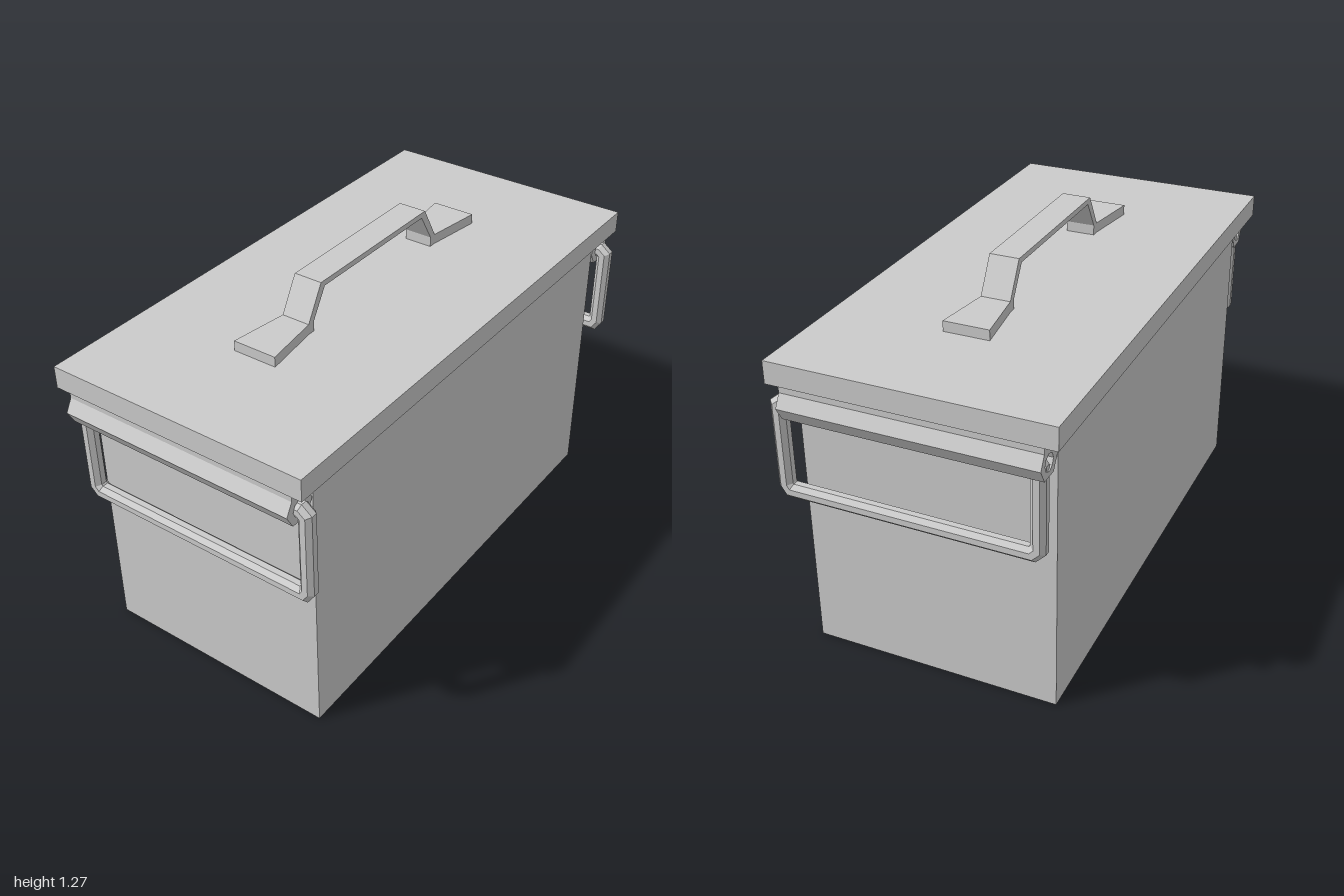
import * as THREE from 'three';

const material = new THREE.MeshStandardMaterial({ color: 0xcccccc, flatShading: true });
const wireMaterial = new THREE.MeshStandardMaterial({ color: 0xcccccc, flatShading: true, side: THREE.DoubleSide });
const MID_Z = -0.005;

function add(parent, name, geometry, mat = material) {
  const mesh = new THREE.Mesh(geometry, mat);
  mesh.name = name;
  parent.add(mesh);
  return mesh;
}

// Box given by its lower and upper corners
function box(x0, y0, z0, x1, y1, z1) {
  return new THREE.BoxGeometry(x1 - x0, y1 - y0, z1 - z0)
    .translate((x0 + x1) / 2, (y0 + y1) / 2, (z0 + z1) / 2);
}

function polygon(points) {
  return new THREE.Shape(points.map(([x, y]) => new THREE.Vector2(x, y)));
}

function extrude(shape, depth) {
  return new THREE.ExtrudeGeometry(shape, { depth, bevelEnabled: false });
}

// Round wire swept along a [z, y] path, with mitred corners
function wire(path, radius, sides) {
  const pts = path.map(([z, y]) => new THREE.Vector2(z, y));
  const positions = [], index = [];
  pts.forEach((p, i) => {
    const before = p.clone().sub(pts[Math.max(i - 1, 0)]).normalize();
    const after = pts[Math.min(i + 1, pts.length - 1)].clone().sub(p).normalize();
    const t = before.clone().add(after).normalize();
    const stretch = 1 / t.dot(i ? before : after);
    for (let k = 0; k < sides; k++) {
      const a = ((k + 0.5) / sides) * Math.PI * 2;
      const r = radius * Math.cos(a) * stretch;
      positions.push(radius * Math.sin(a), p.y + t.x * r, p.x - t.y * r);
      if (i < pts.length - 1) {
        const b = i * sides + k, c = i * sides + (k + 1) % sides;
        index.push(b, b + sides, c, c, b + sides, c + sides);
      }
    }
  });
  // End caps
  const last = (pts.length - 1) * sides;
  for (let k = 1; k < sides - 1; k++) {
    index.push(0, k, k + 1, last, last + k + 1, last + k);
  }
  const g = new THREE.BufferGeometry();
  g.setAttribute('position', new THREE.Float32BufferAttribute(positions, 3));
  g.setIndex(index);
  g.computeVertexNormals();
  return g;
}

export function createModel() {
  const model = new THREE.Group();
  model.name = 'lidded box';

  add(model, 'body', box(-0.877, 0, -0.445, 0.877, 1.03, 0.437));
  add(model, 'lid', box(-0.983, 1.03, -0.492, 0.983, 1.11, 0.48));

  // Carrying handle on the lid: bent strap with flared feet
  const lidHandle = new THREE.Group();
  lidHandle.name = 'lidHandle';
  lidHandle.position.z = -0.008;
  model.add(lidHandle);
  const outer = [[0.375, 1.11], [0.375, 1.147], [0.305, 1.27]];
  const inner = [[0.285, 1.25], [0.347, 1.147], [0.347, 1.11]];
  const flip = (list) => list.map(([x, y]) => [-x, y]).reverse();
  const strap = polygon([...outer, ...flip(outer), ...flip(inner), ...inner]);
  add(lidHandle, 'strap', extrude(strap, 0.106).translate(0, 0, -0.053));
  for (const s of [1, -1]) {
    const foot = polygon([[s * 0.375, -0.053], [s * 0.587, -0.082], [s * 0.587, 0.082], [s * 0.375, 0.053]]);
    add(lidHandle, 'foot', extrude(foot, 0.037).rotateX(-Math.PI / 2).translate(0, 1.11, 0));
  }

  // Hinge sleeve: hexagonal bar with a neck to the lid and a hole through it
  const sleeve = polygon([[-0.035, 1.03], [-0.035, 1.005], [-0.06, 0.96], [-0.033, 0.912],
    [0.033, 0.912], [0.06, 0.96], [0.035, 1.005], [0.035, 1.03]]);
  const hole = new THREE.Path();
  for (let k = 0; k < 8; k++) {
    const a = (k / 8) * Math.PI * 2;
    hole[k ? 'lineTo' : 'moveTo'](0.03 * Math.cos(a), 0.96 + 0.03 * Math.sin(a));
  }
  hole.closePath();
  sleeve.holes.push(hole);
  const sleeveGeometry = extrude(sleeve, 0.882).translate(0, 0, MID_Z + 0.001 - 0.441);

  // Wire bail hanging from the sleeve
  const bailGeometry = wire([[0.38, 0.955], [0.445, 0.96], [0.464, 0.945], [0.464, 0.655], [0.45, 0.634],
    [-0.395, 0.632], [-0.415, 0.652], [-0.415, 0.94], [-0.4, 0.96], [-0.34, 0.96]], 0.028, 8);

  for (const [side, s] of [['left', 1], ['right', -1]]) {
    const sideHandle = new THREE.Group();
    sideHandle.name = side + 'SideHandle';
    sideHandle.position.x = s * 0.94;
    model.add(sideHandle);
    add(sideHandle, 'hingeSleeve', sleeveGeometry);
    add(sideHandle, 'wireBail', bailGeometry, wireMaterial);
  }
  return model;
}
